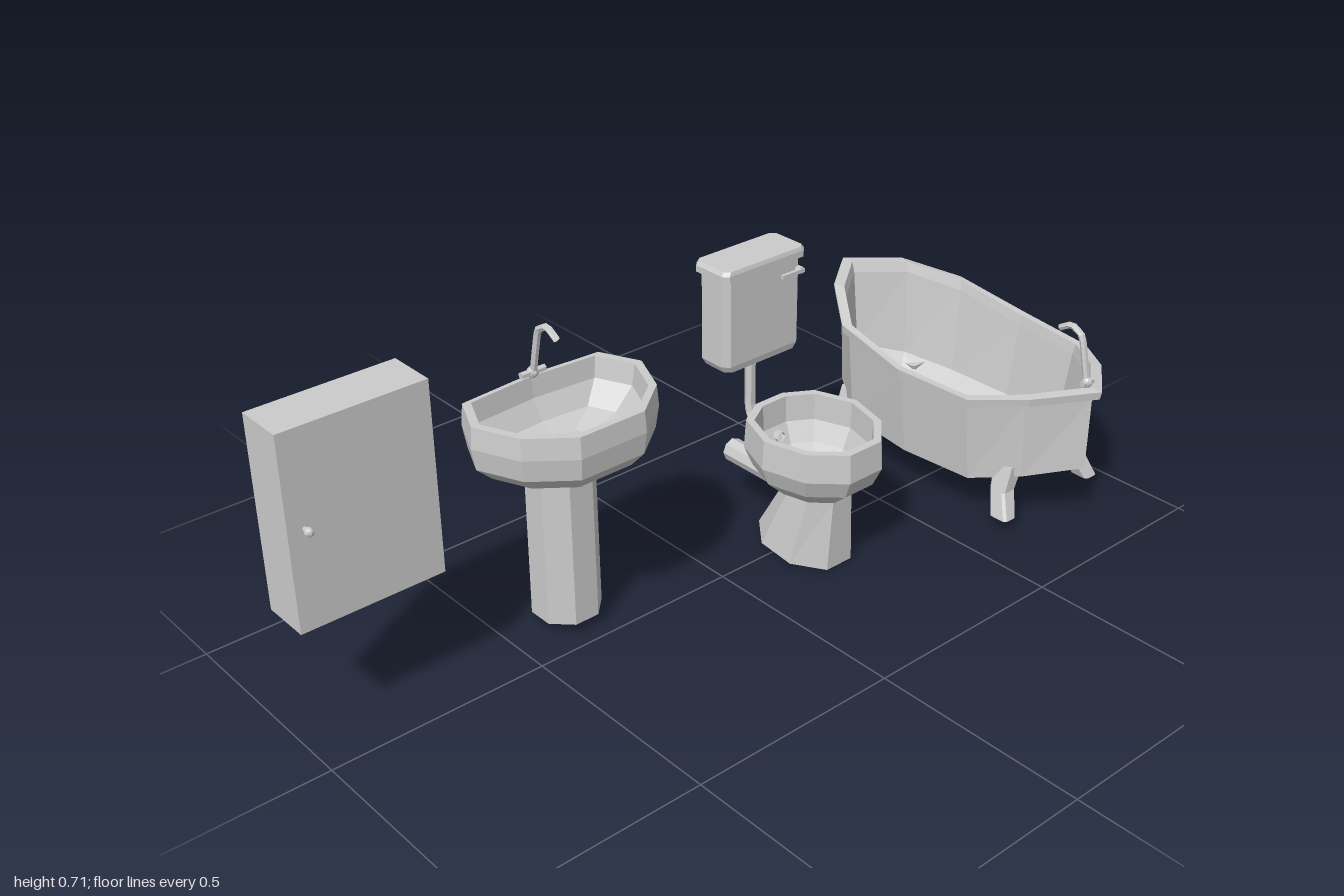
import * as THREE from 'three';

const mat = new THREE.MeshStandardMaterial({ color: 0xcccccc, flatShading: true, side: THREE.DoubleSide });

function add(parent, name, geo, x = 0, y = 0, z = 0) {
  const m = new THREE.Mesh(geo, mat);
  m.name = name;
  m.position.set(x, y, z);
  parent.add(m);
  return m;
}

function group(parent, name, x, z) {
  const g = new THREE.Group();
  g.name = name;
  g.position.set(x, 0, z);
  parent.add(g);
  return g;
}

// Skin through equal-length rings of [x, y, z], closed at both ends
function loft(rings) {
  const pos = [], n = rings[0].length;
  const tri = (...p) => p.forEach(v => pos.push(...v));
  const mid = r => [0, 1, 2].map(k => r.reduce((s, p) => s + p[k], 0) / n);
  const first = rings[0], last = rings[rings.length - 1];
  const c0 = mid(first), c1 = mid(last);
  for (let j = 0; j < n; j++) {
    const k = (j + 1) % n;
    for (let i = 0; i + 1 < rings.length; i++) {
      const a = rings[i], b = rings[i + 1];
      tri(a[j], a[k], b[k], a[j], b[k], b[j]);
    }
    tri(c0, first[k], first[j]);
    tri(c1, last[j], last[k]);
  }
  const geo = new THREE.BufferGeometry();
  geo.setAttribute('position', new THREE.Float32BufferAttribute(pos, 3));
  geo.computeVertexNormals();
  return geo;
}

// Mirror half an outline [x, halfWidth, ...extras] into a full loop
function mirrored(half) {
  const back = half.map(([x, w, ...e]) => [x, -w, ...e]);
  const front = half.filter(p => p[1] !== 0).reverse();
  return [...back, ...front];
}

// Scale an outline at several heights: levels are [y, scale]
const bowl = (outline, levels) =>
  loft(levels.map(([y, s]) => outline.map(([x, z]) => [x * s, y, z * s])));

// Rectangle with cut corners, half sizes a and b
const cutRect = (a, b, c) => mirrored([[a, b - c], [a - c, b], [c - a, b], [-a, b - c]]);

function pipe(points, r, segs = 14) {
  const pts = points.map(p => new THREE.Vector3(...p));
  return new THREE.TubeGeometry(new THREE.CatmullRomCurve3(pts, false, 'catmullrom', 0.1), segs, r, 6);
}

// Curved spout with a cross handle; dir is the x direction it points
function faucet(parent, x, y, dir, handle) {
  const g = group(parent, 'faucet', x, 0);
  g.position.y = y;
  add(g, 'spout', pipe([[0, -0.01, 0], [dir * 0.022, 0.09, 0], [dir * 0.03, 0.108, 0],
    [dir * 0.058, 0.122, 0], [dir * 0.088, 0.105, 0]], 0.008));
  add(g, 'faucetBase', new THREE.SphereGeometry(0.013, 8, 6));
  add(g, 'tapHandle', new THREE.CylinderGeometry(0.008, 0.008, handle, 6)).rotation.x = Math.PI / 2;
}

function bathtub(root) {
  const g = group(root, 'bathtub', 0, -0.768);
  // x, half width, rim height, height of the lower body edge
  const o = mirrored([[0.41, 0, 0.357, 0.15], [0.31, 0.128, 0.343, 0.128], [0.2, 0.21, 0.328, 0.105],
    [0, 0.228, 0.335, 0.105], [-0.2, 0.21, 0.37, 0.113], [-0.32, 0.12, 0.408, 0.15], [-0.41, 0, 0.413, 0.175]]);
  const ring = (sx, sz, y) => o.map(([x, z, rim, low]) => [x * sx, y(rim, low), z * sz]);
  add(g, 'tub', loft([
    ring(0.55, 0.5, () => 0.062),
    ring(0.94, 0.83, (r, l) => l),
    ring(0.94, 0.94, r => r - 0.025),
    ring(0.99, 0.99, r => r - 0.02),
    ring(1, 1, r => r),
    ring(0.92, 0.92, r => r),
    ring(0.9, 0.9, r => r - 0.025),
    ring(0.85, 0.79, (r, l) => l + 0.02),
    ring(0.52, 0.46, () => 0.085),
  ]));
  // Four splayed feet
  for (const [x, s] of [[-0.25, -1], [0.25, 1]]) {
    for (const t of [-1, 1]) {
      const slab = (cx, y, cz, a, b) => cutRect(a, b, 0.006).map(([px, pz]) => [cx + px, y, cz + pz]);
      add(g, 'foot', loft([
        slab(s * 0.279, 0.033, t * 0.148, 0.025, 0.02),
        slab(s * 0.255, 0.09, t * 0.128, 0.022, 0.022),
        slab(x, 0.15, t * 0.105, 0.026, 0.026),
      ]));
    }
  }
  faucet(g, 0.367, 0.366, -1, 0.035);
}

function toilet(root) {
  const g = group(root, 'toilet', 0.05, -0.23);
  const o = mirrored([[0.153, 0.047], [0.088, 0.115], [-0.015, 0.142], [-0.113, 0.105], [-0.152, 0.04]]);
  add(g, 'toiletBowl', bowl(o, [[0.155, 0.35], [0.175, 0.6], [0.215, 0.9], [0.26, 1.03],
    [0.328, 1], [0.328, 0.88], [0.265, 0.86], [0.22, 0.7], [0.19, 0.35]]));
  // Leaning foot with a tilted base
  const oct = (cx, rx, rz, y) => Array.from({ length: 8 }, (_, i) => {
    const a = (i + 0.5) * Math.PI / 4, c = Math.cos(a) / Math.cos(Math.PI / 8);
    return [cx + rx * c, y(c), -rz * Math.sin(a) / Math.cos(Math.PI / 8)];
  });
  add(g, 'toiletFoot', loft([
    oct(-0.027, 0.113, 0.09, c => 0.0125 - 0.0125 * c),
    oct(0.016, 0.073, 0.068, () => 0.175),
  ]));
  add(g, 'wastePipe', new THREE.CylinderGeometry(0.028, 0.028, 0.22, 8), -0.165, 0.145, 0)
    .rotation.z = Math.PI / 2;
  add(g, 'flushPipe', pipe([[-0.215, 0.43, 0], [-0.215, 0.285, 0], [-0.207, 0.258, 0],
    [-0.188, 0.245, 0], [-0.11, 0.245, 0]], 0.013));
  // Cistern
  const tank = group(g, 'cistern', -0.217, 0);
  const t = cutRect(0.047, 0.114, 0.015), lid = cutRect(0.054, 0.121, 0.012);
  add(tank, 'tank', bowl(t, [[0.416, 0.92], [0.432, 1], [0.645, 1]]));
  add(tank, 'tankLid', bowl(lid, [[0.64, 1], [0.655, 1], [0.664, 0.95]]));
  add(tank, 'flushLever', new THREE.BoxGeometry(0.008, 0.009, 0.065), 0.06, 0.612, -0.072);
  add(tank, 'leverPivot', new THREE.CylinderGeometry(0.008, 0.008, 0.02, 6), 0.052, 0.612, -0.098)
    .rotation.z = Math.PI / 2;
}

function sink(root) {
  const g = group(root, 'sink', -0.09, 0.35);
  const o = mirrored([[0.163, 0.08], [0.092, 0.17], [-0.01, 0.214], [-0.102, 0.172], [-0.115, 0]]);
  add(g, 'basin', bowl(o, [[0.397, 0.52], [0.418, 0.82], [0.45, 0.98], [0.5, 1.02],
    [0.548, 1], [0.548, 0.91], [0.5, 0.87], [0.455, 0.65], [0.435, 0.3]]));
  const r = 0.07 / Math.cos(Math.PI / 8);
  add(g, 'pedestal', new THREE.CylinderGeometry(r, r * 1.02, 0.38, 8), -0.02, 0.217, 0)
    .rotation.y = Math.PI / 8;
  faucet(g, -0.098, 0.562, 1, 0.06);
}

function cabinet(root) {
  const g = group(root, 'cabinet', 0, 0.84);
  add(g, 'cabinetBody', new THREE.BoxGeometry(0.096, 0.425, 0.32), -0.113, 0.502, 0);
  add(g, 'cabinetDoor', new THREE.BoxGeometry(0.015, 0.425, 0.32), -0.0575, 0.502, 0);
  add(g, 'knobStem', new THREE.CylinderGeometry(0.005, 0.005, 0.02, 6), -0.042, 0.508, 0.125)
    .rotation.z = Math.PI / 2;
  add(g, 'knob', new THREE.SphereGeometry(0.01, 8, 6), -0.034, 0.508, 0.125);
}

export function createModel() {
  const root = new THREE.Group();
  root.name = 'bathroomSet';
  bathtub(root);
  toilet(root);
  sink(root);
  cabinet(root);
  return root;
}
